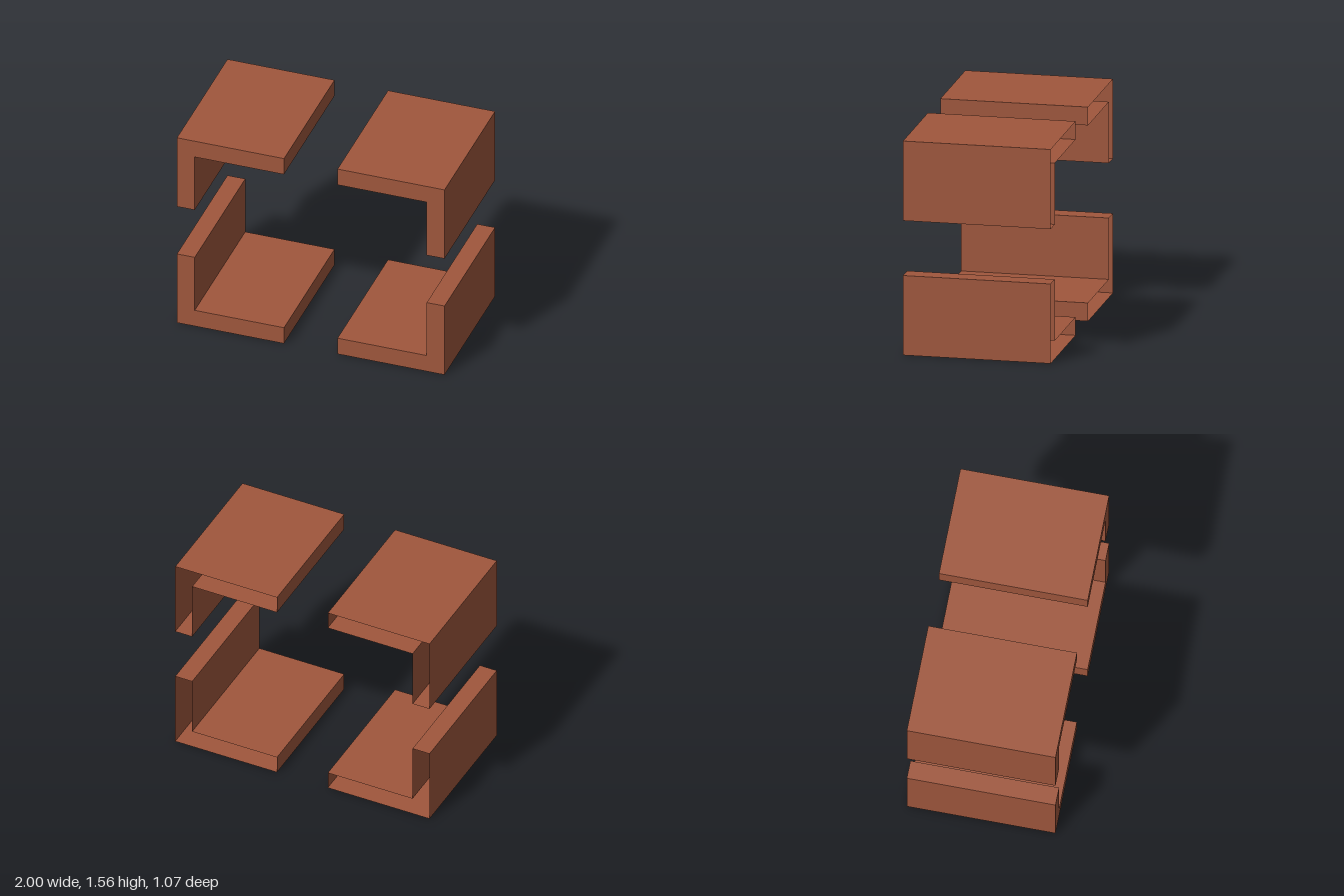
import * as THREE from 'three';

const HEIGHT = 1.56, DEPTH = 1.067, THICK = 0.133;
const HALF_W = 1, HALF_GAP = 0.2, LEG = 0.58;

// L-shaped corner profile, mirrored by sx (left/right) and sy (bottom/top)
function cornerShape(sx, sy) {
  const points = [
    [HALF_GAP, 0], [HALF_W, 0], [HALF_W, LEG],
    [HALF_W - THICK, LEG], [HALF_W - THICK, THICK], [HALF_GAP, THICK],
  ];
  return new THREE.Shape(points.map(([x, y]) =>
    new THREE.Vector2(sx * x, sy > 0 ? y : HEIGHT - y)));
}

// Extruded profile with its back cap removed, leaving a hollow shell open at the rear
function openBackExtrude(shape) {
  const solid = new THREE.ExtrudeGeometry(shape, { depth: DEPTH, bevelEnabled: false });
  solid.translate(0, 0, -DEPTH / 2);
  const pos = solid.attributes.position;
  const kept = [];
  for (let i = 0; i < pos.count; i += 3) {
    const isBack = [0, 1, 2].every((k) => pos.getZ(i + k) < -DEPTH / 2 + 1e-4);
    if (!isBack) {
      for (let k = 0; k < 3; k++) kept.push(pos.getX(i + k), pos.getY(i + k), pos.getZ(i + k));
    }
  }
  const shell = new THREE.BufferGeometry();
  shell.setAttribute('position', new THREE.Float32BufferAttribute(kept, 3));
  shell.computeVertexNormals();
  return shell;
}

export function createModel() {
  const group = new THREE.Group();
  group.name = 'cornerBrackets';
  const material = new THREE.MeshStandardMaterial({ color: 0xa0573d, side: THREE.DoubleSide });

  // Four corner brackets around an open cross-shaped gap
  for (const sx of [1, -1]) {
    for (const sy of [1, -1]) {
      const bracket = new THREE.Mesh(openBackExtrude(cornerShape(sx, sy)), material);
      bracket.name = (sy > 0 ? 'bottom' : 'top') + (sx > 0 ? 'Left' : 'Right') + 'Bracket';
      group.add(bracket);
    }
  }
  return group;
}
